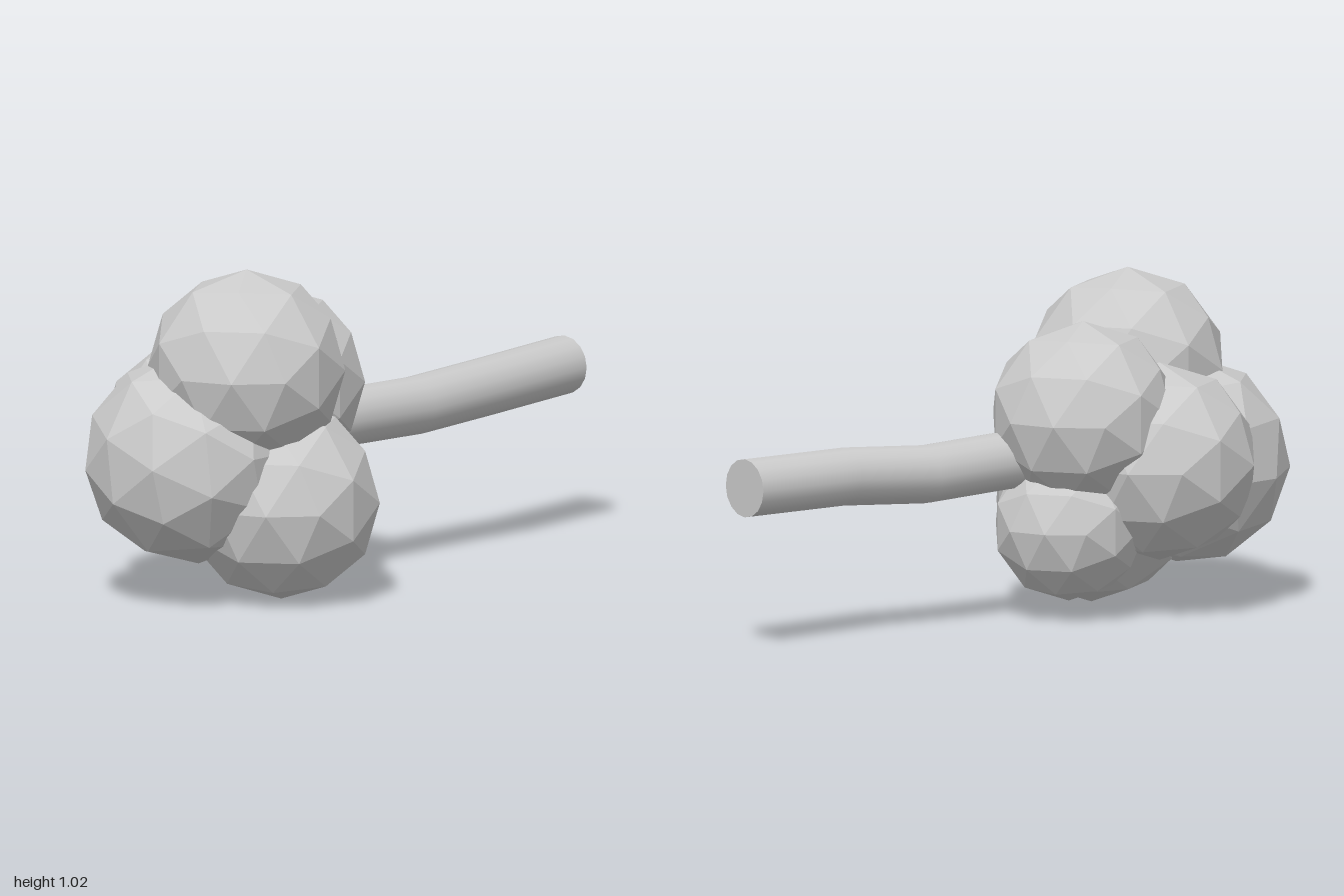
import * as THREE from 'three';

const material = new THREE.MeshStandardMaterial({ color: 0xcccccc, flatShading: true });
const smooth = new THREE.MeshStandardMaterial({ color: 0xcccccc });

// Low-poly ball with one pole vertex facing +z
function ball(name, x, y, z, r, orient) {
  const g = new THREE.IcosahedronGeometry(r, 1);
  if (orient) orient(g);
  else g.rotateX(Math.atan(2 / (1 + Math.sqrt(5)))).rotateZ(Math.PI / 2);
  const m = new THREE.Mesh(g, material);
  m.name = name;
  m.position.set(x, y, z);
  return m;
}

// Cylinder whose rings follow a slightly bent path of [x, y, z] centres
function bentStem(path, r) {
  const n = path.length - 1;
  const g = new THREE.CylinderGeometry(r, r, n, 16, n).rotateX(Math.PI / 2);
  const p = g.attributes.position;
  for (let i = 0; i < p.count; i++) {
    const [cx, cy, cz] = path[Math.round(p.getZ(i) + n / 2)];
    p.setXYZ(i, p.getX(i) + cx, p.getY(i) + cy, cz);
  }
  const m = new THREE.Mesh(g, smooth);
  m.name = 'stem';
  return m;
}

export function createModel() {
  const group = new THREE.Group();
  group.name = 'ballCluster';

  // Cluster of overlapping balls
  group.add(
    ball('topBall', 0.11, 0.72, 0.585, 0.302),
    ball('lowerLeftBall', 0.16, 0.305, 0.483, 0.302),
    ball('rightBall', -0.16, 0.468, 0.485, 0.302),
    ball('backTopBall', -0.07, 0.62, 0.26, 0.287),
    ball('backLowerBall', -0.043, 0.285, 0.225, 0.232),
    // Front ball shows a face to the front
    ball('frontBall', -0.028, 0.44, 0.695, 0.32, g => {
      g.applyQuaternion(new THREE.Quaternion().setFromUnitVectors(
        new THREE.Vector3(1, 1, 1).normalize(), new THREE.Vector3(0, 0, 1)));
    }),
  );

  // Stem running out of the back
  group.add(bentStem([
    [0.018, 0.505, -1],
    [0.055, 0.497, -0.58],
    [0.035, 0.478, -0.28],
    [0.042, 0.488, 0.03],
    [0.04, 0.49, 0.35],
  ], 0.089));

  return group;
}
